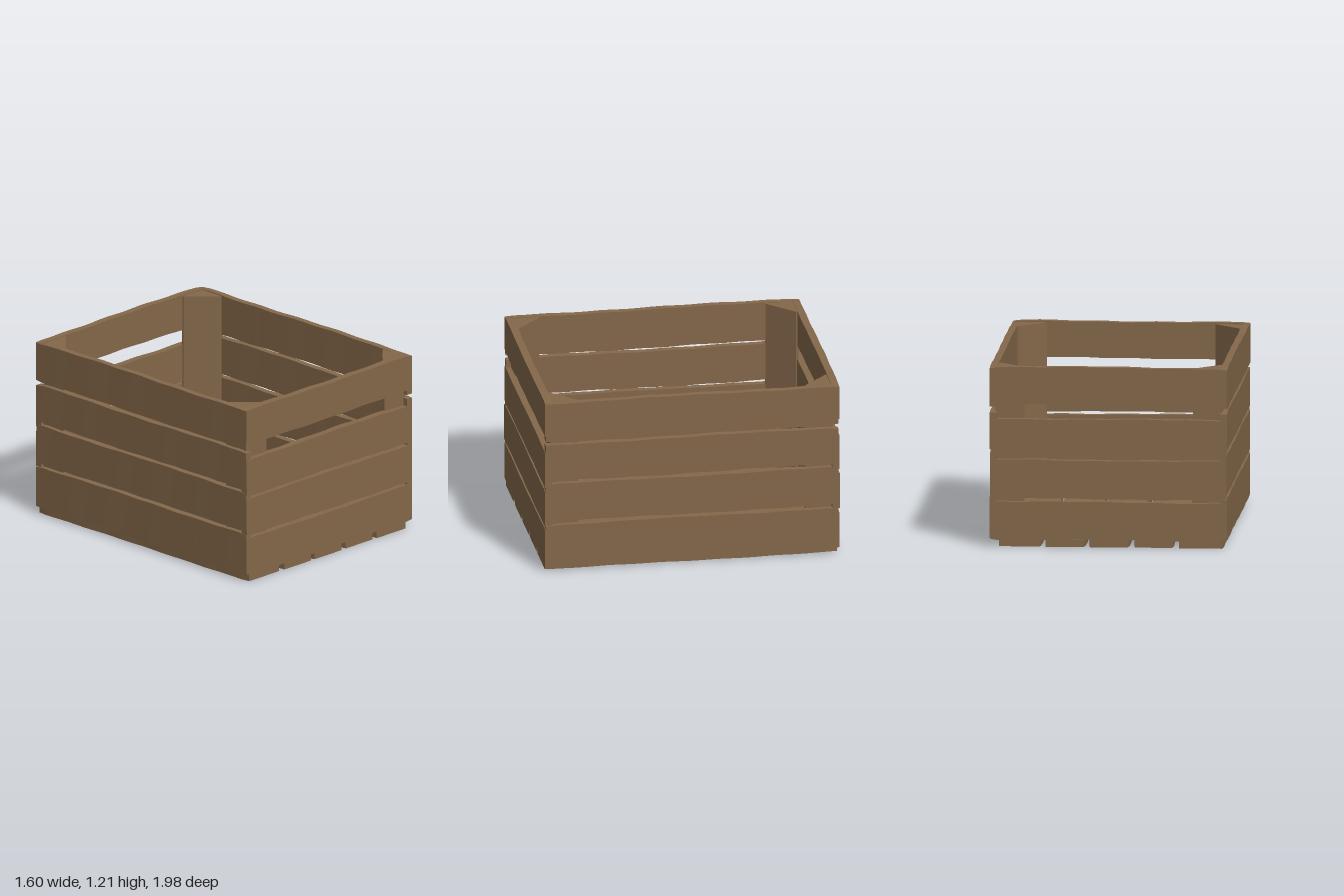
import * as THREE from 'three';

const wood = new THREE.MeshStandardMaterial({ color: 0x84684a });
wood.name = 'brown wood';

// The crate leans slightly out of square
const skew = (x, z) => x - 0.012 * z;

// Slow wave plus finer ripple, for hand-cut edges
const wave = (t, seed) => Math.sin(t * 4.3 + seed * 2.1) * 0.6 + Math.sin(t * 17 + seed * 5.7) * 0.4;

let seed = 0;

// Board between two corners, with worn corners and uneven long edges
function board(name, min, max) {
  const size = max.map((v, i) => v - min[i]);
  const mid = max.map((v, i) => (v + min[i]) / 2);
  const long = size.indexOf(Math.max(...size));
  const segs = size.map((v, i) => (i === long ? 28 : 1));
  const geo = new THREE.BoxGeometry(...size, ...segs);
  const pos = geo.attributes.position;
  seed++;
  for (let i = 0; i < pos.count; i++) {
    const p = [pos.getX(i), pos.getY(i), pos.getZ(i)];
    const t = p[long];
    const atEnd = Math.abs(t) > size[long] / 2 - 0.001;
    const q = p.map((v, a) => {
      if (a === long) return v;
      const side = Math.sign(v);
      const amount = size[a] > 0.1 ? 0.005 : 0.0015;
      const worn = atEnd && size[a] > 0.1 ? 0.006 * side : 0;
      return v + amount * wave(t, seed + side * 1.3 + a) - worn;
    });
    const x = q[0] + mid[0], y = q[1] + mid[1], z = q[2] + mid[2];
    pos.setXYZ(i, skew(x, z), y, z);
  }
  geo.computeVertexNormals();
  const mesh = new THREE.Mesh(geo, wood);
  mesh.name = name;
  return mesh;
}

// Triangular post filling one inside corner
function cornerPost(sx, sz) {
  const points = [[0.755, 0.95], [0.56, 0.95], [0.56, 0.935], [0.735, 0.76], [0.755, 0.76]];
  const shape = new THREE.Shape(points.map(([x, z]) => new THREE.Vector2(skew(x * sx, z * sz), z * sz)));
  const geo = new THREE.ExtrudeGeometry(shape, { depth: 1.155, bevelEnabled: false });
  geo.rotateX(Math.PI / 2);
  geo.translate(0, 1.205, 0);
  const mesh = new THREE.Mesh(geo, wood);
  mesh.name = 'cornerPost';
  return mesh;
}

export function createModel() {
  const crate = new THREE.Group();
  crate.name = 'woodenCrate';

  // Long side slats
  const sideRows = [[0.055, 0.34], [0.365, 0.632], [0.655, 0.913], [0.937, 1.21]];
  for (const [y0, y1] of sideRows) {
    crate.add(board('leftSlat', [0.743, y0, -0.985], [0.788, y1, 0.983]));
    crate.add(board('rightSlat', [-0.788, y0, -0.985], [-0.743, y1, 0.983]));
  }

  // End slats, with a wider handle gap below the top one
  const endRows = [[0.053, 0.308], [0.33, 0.588], [0.608, 0.864], [0.97, 1.212]];
  for (const [y0, y1] of endRows) {
    crate.add(board('frontSlat', [-0.784, y0, 0.937], [0.784, y1, 0.988]));
    crate.add(board('backSlat', [-0.784, y0, -0.992], [0.784, y1, -0.943]));
  }

  // Floor boards
  const floor = [[-0.76, -0.465], [-0.428, -0.168], [-0.138, 0.128], [0.158, 0.424], [0.448, 0.735]];
  for (const [x0, x1] of floor) {
    crate.add(board('floorBoard', [x0, 0.005, -0.985], [x1, 0.055, 0.98]));
  }

  // Corner posts
  for (const sx of [-1, 1]) for (const sz of [-1, 1]) crate.add(cornerPost(sx, sz));

  return crate;
}
